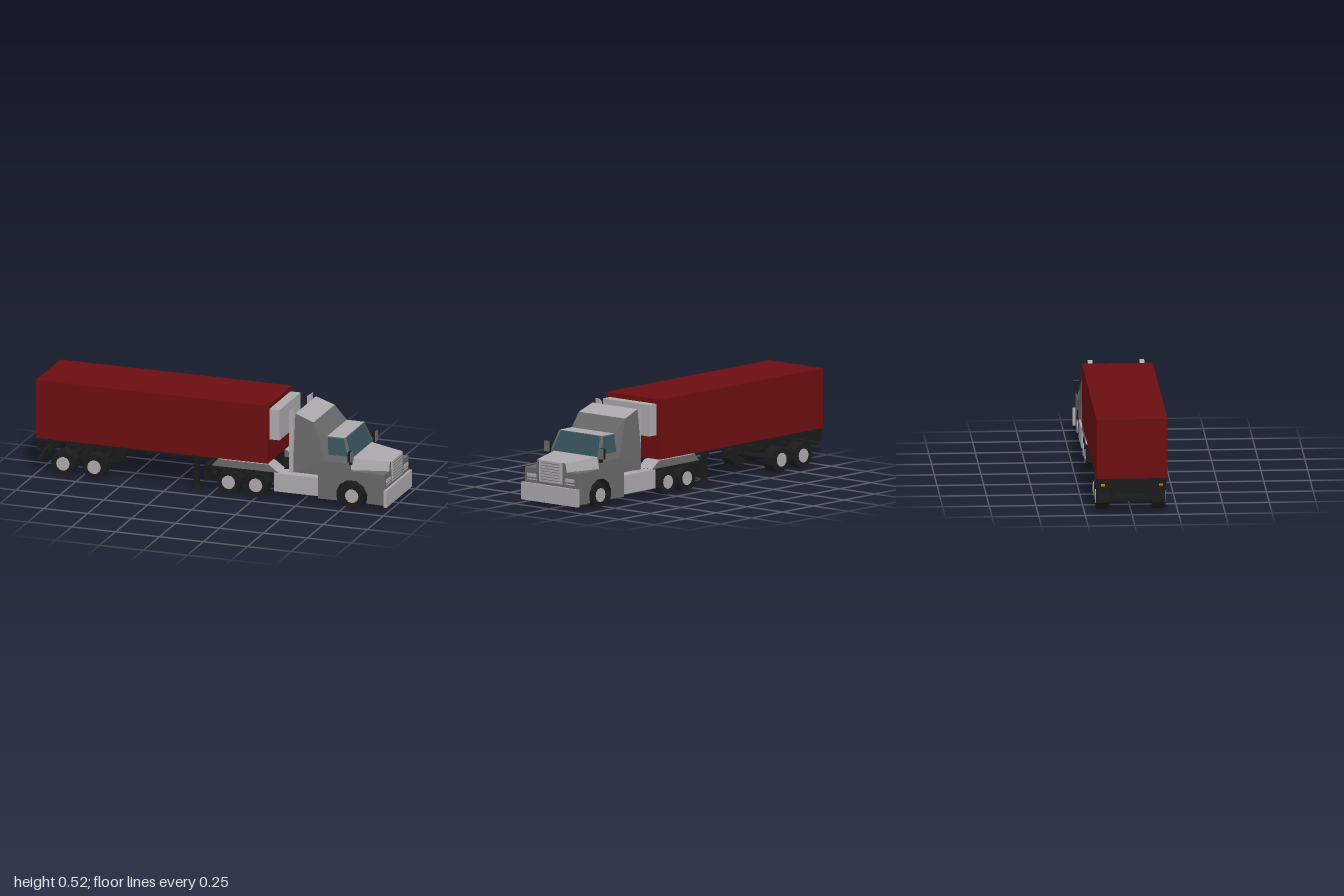
import * as THREE from 'three';

const mat = (name, color, side = THREE.FrontSide) => {
  const m = new THREE.MeshStandardMaterial({ color, side });
  m.name = name;
  return m;
};

export function createModel() {
  const root = new THREE.Group();
  root.name = 'semiTruck';
  const red = mat('trailerRed', 0x6c0e10);
  const body = mat('cabGrey', 0x686868);
  const light = mat('lightGrey', 0xaba8ab);
  const black = mat('black', 0x1b1b1b);
  const glass = mat('glass', 0x37505a, THREE.DoubleSide);
  const orange = mat('lampOrange', 0xd87a18);

  const add = (name, geo, m, parent = root) => {
    const mesh = new THREE.Mesh(geo, m);
    mesh.name = name;
    parent.add(mesh);
    return mesh;
  };
  // box from its min and max corners
  const box = (name, m, x0, x1, y0, y1, z0, z1, parent) => {
    const b = add(name, new THREE.BoxGeometry(x1 - x0, y1 - y0, z1 - z0), m, parent);
    b.position.set((x0 + x1) / 2, (y0 + y1) / 2, (z0 + z1) / 2);
    return b;
  };
  // the same box on both sides
  const pair = (name, m, x0, x1, y0, y1, z0, z1) => {
    box(name, m, x0, x1, y0, y1, z0, z1);
    box(name, m, x0, x1, y0, y1, -z1, -z0);
  };
  const flat = (verts) => {
    const g = new THREE.BufferGeometry();
    g.setAttribute('position', new THREE.Float32BufferAttribute(verts.flat(), 3));
    g.computeVertexNormals();
    return g;
  };
  // side profile [x, y, halfWidth], counter-clockwise; listed edges take a second colour
  const slab = (name, pts, m, alt = m, altEdges = []) => {
    const v = [];
    const at = (i, s) => [pts[i][0], pts[i][1], s * pts[i][2]];
    const outline = pts.map((p) => new THREE.Vector2(p[0], p[1]));
    for (const [a, b, c] of THREE.ShapeUtils.triangulateShape(outline, [])) {
      v.push(at(a, 1), at(b, 1), at(c, 1), at(c, -1), at(b, -1), at(a, -1));
    }
    const caps = v.length;
    pts.forEach((_, i) => {
      const j = (i + 1) % pts.length;
      v.push(at(i, 1), at(i, -1), at(j, -1), at(i, 1), at(j, -1), at(j, 1));
    });
    const g = flat(v);
    g.addGroup(0, caps, 0);
    pts.forEach((_, i) => g.addGroup(caps + i * 6, 6, altEdges.includes(i) ? 1 : 0));
    return add(name, g, [m, alt]);
  };
  const quad = (name, a, b, c, d, m) => add(name, flat([a, b, c, a, c, d]), m);

  // trailer
  box('trailerBox', red, -1, 0.32, 0.2, 0.525, -0.19, 0.19);
  box('trailerFloor', black, -0.998, -0.02, 0.188, 0.2, -0.187, 0.187);
  pair('trailerRail', black, -0.98, -0.04, 0.165, 0.19, 0.06, 0.08);
  for (let i = 0; i < 7; i++) {
    const x = -0.93 + i * 0.14;
    box('crossMember', black, x, x + 0.015, 0.172, 0.19, -0.18, 0.18);
  }
  box('coolingUnit', light, 0.32, 0.378, 0.33, 0.5, -0.165, 0.165);

  // trailer rear panel, lamps and guard bars
  box('rearPanel', black, -0.995, -0.975, 0.13, 0.2, -0.185, 0.185);
  pair('rearLamp', orange, -0.999, -0.994, 0.158, 0.17, 0.145, 0.165);
  pair('guardPost', black, -0.985, -0.968, 0.075, 0.14, 0.09, 0.11);
  box('guardBar', black, -0.99, -0.97, 0.075, 0.095, -0.18, 0.18);
  box('guardBarUpper', black, -0.975, -0.96, 0.11, 0.125, -0.18, 0.18);

  // landing legs
  for (const s of [-1, 1]) {
    const z = 0.13 * s;
    box('landingLeg', black, -0.12, -0.092, 0.03, 0.19, z - 0.014, z + 0.014);
    const foot = add('landingFoot', new THREE.CylinderGeometry(0.02, 0.032, 0.03, 4), black);
    foot.rotation.y = Math.PI / 4;
    foot.position.set(-0.106, 0.02, z);
  }
  box('legBrace', black, -0.113, -0.1, 0.13, 0.145, -0.13, 0.13);

  // wheels and axles
  const wheel = (x, z, width) => {
    const s = Math.sign(z);
    const g = new THREE.Group();
    g.name = 'wheel';
    const tyre = add('tyre', new THREE.CylinderGeometry(0.07, 0.07, width, 10).toNonIndexed(), black, g);
    tyre.geometry.computeVertexNormals();
    tyre.rotation.x = Math.PI / 2;
    const hub = add('hub', new THREE.CylinderGeometry(0.038, 0.038, 0.006, 12), light, g);
    hub.rotation.x = Math.PI / 2;
    hub.position.z = s * (width / 2 + 0.001);
    g.position.set(x, 0.07, z);
    root.add(g);
  };
  for (const [x, width] of [[-0.847, 0.07], [-0.67, 0.07], [0.095, 0.07], [0.25, 0.07], [0.797, 0.05]]) {
    for (const s of [-1, 1]) wheel(x, s * (0.185 - width / 2), width);
    const axle = add('axle', new THREE.CylinderGeometry(0.014, 0.014, 0.3, 8), black);
    axle.rotation.x = Math.PI / 2;
    axle.position.set(x, 0.07, 0);
    if (x < 0.5) pair('suspensionStrut', black, x - 0.012, x + 0.012, 0.07, x < 0 ? 0.19 : 0.14, 0.075, 0.1);
  }

  // tractor chassis
  pair('chassisRail', black, -0.03, 0.7, 0.125, 0.15, 0.048, 0.068);
  for (const x of [-0.03, 0.17, 0.35, 0.48]) box('chassisCross', black, x, x + 0.02, 0.128, 0.147, -0.06, 0.06);
  pair('mudFlap', black, -0.045, -0.025, 0.065, 0.152, 0.09, 0.185);
  box('flapBar', black, -0.04, -0.025, 0.135, 0.15, -0.185, 0.185);
  box('couplingPlate', black, 0.09, 0.32, 0.15, 0.199, -0.07, 0.07);
  pair('deckEdge', black, -0.03, 0.37, 0.138, 0.155, 0.068, 0.18);
  for (const s of [-1, 1]) {
    const guard = slab('rearMudguard', [[0, 0.155, 0.05], [0.38, 0.155, 0.05], [0.325, 0.195, 0.05],
      [0.035, 0.195, 0.05]], body, light, [1, 2, 3]);
    guard.position.z = s * 0.138;
    // exhaust stacks with slanted tops
    const stack = slab('exhaustStack', [[0.427, 0.15, 0.0125], [0.452, 0.15, 0.0125], [0.452, 0.514, 0.0125],
      [0.427, 0.495, 0.0125]], light);
    stack.position.z = s * 0.139;
  }
  pair('fuelTank', light, 0.355, 0.606, 0.05, 0.152, 0.1, 0.19);
  box('cabMount', black, 0.49, 0.64, 0.145, 0.17, -0.12, 0.12);

  // sleeper and cabin
  slab('sleeper', [[0.465, 0.168, 0.185], [0.645, 0.168, 0.185], [0.645, 0.25, 0.185], [0.645, 0.38, 0.152],
    [0.572, 0.453, 0.165], [0.467, 0.49, 0.16], [0.465, 0.25, 0.185]], body, light, [4]);
  slab('cabin', [[0.645, 0.168, 0.185], [0.785, 0.168, 0.185], [0.785, 0.25, 0.185], [0.785, 0.27, 0.18],
    [0.745, 0.38, 0.152], [0.645, 0.38, 0.152], [0.645, 0.25, 0.185]], body, light, [4]);
  quad('windscreen', [0.788, 0.272, 0.165], [0.788, 0.272, -0.165], [0.749, 0.378, -0.138],
    [0.749, 0.378, 0.138], glass);
  for (const s of [-1, 1]) {
    quad('sideWindow', [0.662, 0.286, s * 0.179], [0.772, 0.286, s * 0.179], [0.742, 0.375, s * 0.156],
      [0.65, 0.375, s * 0.156], glass);
  }

  // lower cab with wheel arches
  const lower = [[0.606, 0.035]];
  for (let i = 0; i <= 7; i++) {
    const a = Math.PI * (1.12 - (1.24 * i) / 7);
    lower.push([0.797 + 0.09 * Math.cos(a), 0.07 + 0.09 * Math.sin(a)]);
  }
  lower.push([0.985, 0.035], [0.985, 0.207], [0.606, 0.21]);
  slab('lowerCab', lower.map((p) => [...p, 0.185]), body, black, [0, 1, 2, 3, 4, 5, 6, 7, 8]);
  box('engineBay', black, 0.64, 0.96, 0.036, 0.19, -0.125, 0.125);

  // tapered hood: back and front cross-sections
  const ring = (x, wb, wt, y) => [[x, 0.2, wb], [x, y, wt], [x, y, -wt], [x, 0.2, -wb]];
  const back = ring(0.78, 0.17, 0.155, 0.271);
  const front = ring(0.983, 0.112, 0.1, 0.256);
  const hood = [];
  for (let i = 0; i < 3; i++) {
    hood.push(back[i], front[i], front[i + 1], back[i], front[i + 1], back[i + 1]);
  }
  add('hood', flat(hood), light);
  quad('hoodFront', front[0], front[3], front[2], front[1], body);

  // grille, headlights and bumper
  box('grille', light, 0.982, 0.99, 0.14, 0.256, -0.08, 0.08);
  for (let i = 0; i < 7; i++) {
    const y = 0.152 + i * 0.015;
    box('grilleSlot', body, 0.989, 0.9915, y, y + 0.003, -0.065, 0.065);
  }
  pair('headlight', light, 0.984, 0.99, 0.157, 0.176, 0.105, 0.168);
  pair('headlightTrim', light, 0.984, 0.988, 0.142, 0.148, 0.1, 0.17);
  box('bumper', light, 0.983, 1, 0.03, 0.125, -0.2, 0.2);

  // mirrors
  pair('mirrorHousing', black, 0.783, 0.797, 0.265, 0.322, 0.175, 0.21);
  pair('mirrorFace', body, 0.797, 0.802, 0.265, 0.322, 0.175, 0.21);
  pair('mirrorArm', black, 0.782, 0.796, 0.245, 0.268, 0.175, 0.19);

  return root;
}
